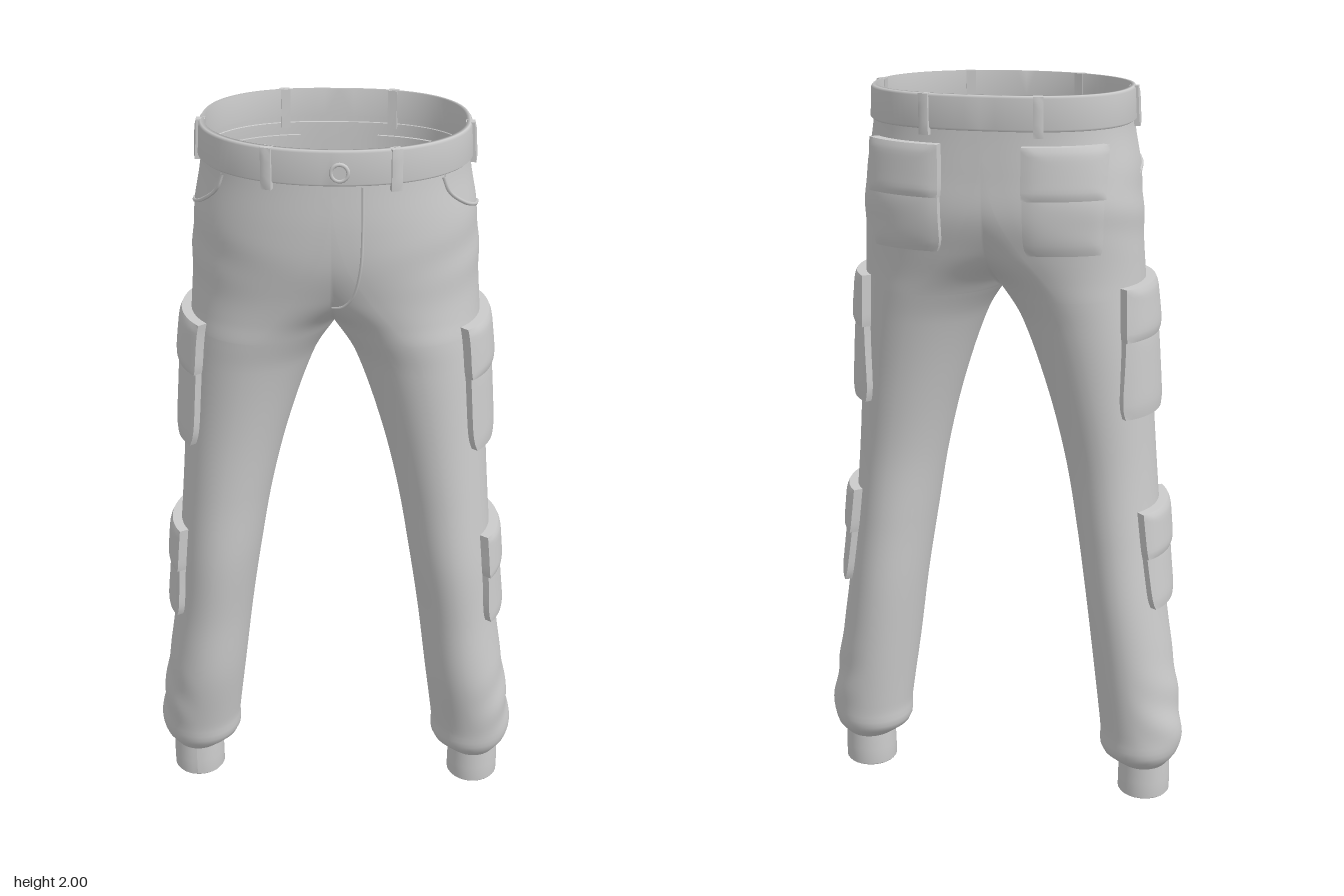
import * as THREE from 'three';
import { mergeVertices, mergeGeometries } from 'three/addons/utils/BufferGeometryUtils.js';

// Half-body sections: y, outer x, front z, back z, leg centre x, inner radius
const ROWS = [
  [2.0, 0.328, 0.27, -0.252, 0, 0.4],
  [1.9, 0.335, 0.273, -0.25, 0, 0.4],
  [1.8, 0.353, 0.274, -0.25, 0.01, 0.4],
  [1.7, 0.362, 0.265, -0.248, 0.04, 0.36],
  [1.6, 0.367, 0.242, -0.222, 0.1, 0.28],
  [1.53, 0.372, 0.228, -0.2, 0.155, 0.2],
  [1.48, 0.376, 0.222, -0.187, 0.19, 0.19],
  [1.4, 0.385, 0.21, -0.17, 0.22, 0.17],
  [1.2, 0.4, 0.195, -0.14, 0.262, 0.142],
  [1.0, 0.415, 0.19, -0.12, 0.295, 0.125],
  [0.8, 0.433, 0.19, -0.12, 0.32, 0.115],
  [0.6, 0.455, 0.175, -0.125, 0.345, 0.11],
  [0.4, 0.485, 0.165, -0.12, 0.372, 0.112],
  [0.2, 0.515, 0.13, -0.11, 0.4, 0.115],
  [0.14, 0.508, 0.12, -0.103, 0.4, 0.11],
  [0.1, 0.48, 0.09, -0.065, 0.41, 0.072],
];
const CROTCH = 1.48, HEM = 0.1;
const { lerp, clamp, smoothstep } = THREE.MathUtils;
const spow = (v, p) => Math.sign(v) * Math.abs(v) ** p;

// Smooth interpolation of the section table
function section(y) {
  let i = 0;
  while (i < ROWS.length - 2 && y <= ROWS[i + 1][0]) i++;
  const slope = (j, c) => {
    const a = ROWS[Math.max(j - 1, 0)], b = ROWS[Math.min(j + 1, ROWS.length - 1)];
    return (b[c] - a[c]) / (b[0] - a[0]);
  };
  const A = ROWS[i], B = ROWS[i + 1], h = B[0] - A[0], t = clamp((y - A[0]) / h, 0, 1);
  const s = t * t * (3 - 2 * t);
  const [xo, zf, zb, cx, R] = [1, 2, 3, 4, 5].map((c) =>
    A[c] * (1 - s) + B[c] * s + h * (t * (1 - t) ** 2 * slope(i, c) - t * t * (1 - t) * slope(i + 1, c)));
  return { cx: Math.max(cx, 0), R, rx: xo - Math.max(cx, 0), cz: (zf + zb) / 2, rz: (zf - zb) / 2 };
}

// The seat is squarer than the front and the legs
const power = (y, a) => 1 - (a < 0 ? 0.2 : 0.06) * smoothstep(y, 1.4, 1.8);

// Point on the outer half: a = -90deg back, 0 side, +90deg front
function surf(y, a, off = 0) {
  const S = section(y);
  const at = (b) => {
    const e = power(y, b);
    return [S.cx + S.rx * spow(Math.cos(b), e), S.cz + S.rz * spow(Math.sin(b), e)];
  };
  const [x, z] = at(a), p = at(a - 0.02), q = at(a + 0.02);
  const tx = q[0] - p[0], tz = q[1] - p[1], len = Math.hypot(tx, tz);
  const folds = Math.exp(-(((y - 0.27) / 0.12) ** 2)) + 0.6 * Math.exp(-(((y - 1.7) / 0.07) ** 2));
  const d = off + 0.004 * folds * Math.max(Math.cos(a), 0) * Math.sin(42 * y + 3 * a);
  return new THREE.Vector3(x + (tz / len) * d, y, z - (tx / len) * d);
}
const angleAtZ = (y, z) => {
  const S = section(y), v = clamp((z - S.cz) / S.rz, -1, 1);
  return Math.asin(spow(v, 1 / power(y, v)));
};
const angleAtX = (y, x, side) => {
  const S = section(y), v = clamp((x - S.cx) / S.rx, 0, 1);
  return side * Math.acos(v ** (1 / power(y, side)));
};

// Grid of points joined into a surface
function grid(rows) {
  const n = rows[0].length, index = [];
  for (let i = 0; i < rows.length - 1; i++)
    for (let k = 0; k < n - 1; k++) {
      const p = i * n + k;
      index.push(p, p + 1, p + n, p + 1, p + n + 1, p + n);
    }
  const g = new THREE.BufferGeometry();
  g.setAttribute('position', new THREE.Float32BufferAttribute(rows.flat().flatMap((v) => v.toArray()), 3));
  g.setIndex(index);
  g.computeVertexNormals();
  return g;
}

function mirrored(geo) {
  const g = geo.clone().scale(-1, 1, 1), ix = g.index.array;
  for (let i = 0; i < ix.length; i += 3) [ix[i], ix[i + 1]] = [ix[i + 1], ix[i]];
  g.computeVertexNormals();
  return g;
}

// Both halves welded into one smooth surface
function weld(half) {
  const g = mergeGeometries([half, mirrored(half)]);
  g.deleteAttribute('normal');
  const w = mergeVertices(g, 1e-5);
  w.computeVertexNormals();
  return w;
}

function bodyHalf() {
  const ys = [];
  for (let i = 0; i <= 40; i++) ys.push(CROTCH + (2 - CROTCH) * (1 - i / 40) ** 1.6);
  for (let i = 1; i <= 80; i++) ys.push(CROTCH + (HEM - CROTCH) * (i / 80));
  const M = 40, K = 16;
  return grid(ys.map((y) => {
    const S = section(y), T = Math.asin(Math.min(1, S.cx / S.R)), ring = [];
    const inner = (t, s) => new THREE.Vector3(
      Math.max(0, S.cx - S.R * Math.sin(t)), y, S.cz + s * S.rz * Math.cos(t));
    for (let k = K; k > 0; k--) ring.push(inner((T * k) / K, -1));
    for (let k = 0; k <= M; k++) ring.push(surf(y, (k / M - 0.5) * Math.PI));
    for (let k = 1; k <= K; k++) ring.push(inner((T * k) / K, 1));
    return ring;
  }));
}

// Slab wrapped on the body between two edges given as angles per height
function panel(y0, y1, off, edges, { taper = 0, nx = 16, ny = 12 } = {}) {
  const g = new THREE.BoxGeometry(1, 1, 1, nx, ny, 1), P = g.attributes.position;
  for (let i = 0; i < P.count; i++) {
    const u = P.getX(i), v = P.getY(i), y = lerp(y0, y1, v + 0.5);
    const [a, b] = edges(y), hi = Math.max(a, b), lo = Math.min(a, b);
    const w = 1 - taper * Math.max(0, -2 * v) ** 5;
    const rim = Math.max(Math.abs(2 * u), Math.abs(2 * v)) ** 6;
    const d = P.getZ(i) > 0 ? off * (1 - 0.2 * rim) : -0.008;
    const s = surf(y, lerp(hi, lo, 0.5 + u * w), d);
    P.setXYZ(i, s.x, s.y, s.z);
  }
  g.computeVertexNormals();
  return g;
}

const cord = (points, r) => new THREE.TubeGeometry(new THREE.CatmullRomCurve3(points), 32, r, 6);

export function createModel() {
  const model = new THREE.Group();
  const material = new THREE.MeshStandardMaterial({ color: 0xcccccc, side: THREE.DoubleSide });
  const add = (name, geo) => {
    const m = new THREE.Mesh(geo, material);
    m.name = name;
    model.add(m);
    return m;
  };
  const pair = (name, geo) => {
    add('left' + name, geo);
    add('right' + name, mirrored(geo));
  };

  // Seat and legs
  add('trousers', weld(bodyHalf()));

  // Waistband
  const band = [[1.93, -0.006], [2, -0.006], [2, 0.004], [1.994, 0.008], [1.92, 0.008], [1.912, -0.002]];
  add('waistband', weld(grid(band.map(([y, d]) =>
    Array.from({ length: 49 }, (_, k) => surf(y, (k / 48 - 0.5) * Math.PI, d))))));

  // Belt loops at front, side and back
  const loop = (edges) => panel(1.9, 2, 0.018, edges, { nx: 2, ny: 6 });
  pair('FrontBeltLoop', loop((y) => [angleAtX(y, 0.138, 1), angleAtX(y, 0.162, 1)]));
  pair('SideBeltLoop', loop((y) => [angleAtZ(y, 0.013), angleAtZ(y, 0.037)]));
  pair('BackBeltLoop', loop((y) => [angleAtX(y, 0.128, -1), angleAtX(y, 0.152, -1)]));

  // Flapped pockets: thigh, shin and seat
  const pocket = (name, y0, yFlap, y1, edges, wide) => {
    pair(name, panel(y0, yFlap + 0.03, 0.024, edges, { taper: 0.08 }));
    pair(name + 'Flap', panel(yFlap, y1, 0.032, (y) => {
      const [a, b] = edges(y);
      return [a + wide * Math.sign(a - b), b - wide * Math.sign(a - b)];
    }, { taper: 0.02 }));
  };
  pocket('ThighPocket', 1.16, 1.37, 1.51, (y) => [angleAtZ(y, 0.155), angleAtZ(y, -0.115)], 0.02);
  pocket('ShinPocket', 0.61, 0.76, 0.89, (y) => [angleAtZ(y, 0.135), angleAtZ(y, -0.078)], 0.02);
  pocket('SeatPocket', 1.61, 1.75, 1.88, (y) => [angleAtX(y, 0.285, -1), angleAtX(y, 0.105, -1)], 0.01);

  // Curved hand pocket openings
  const opening = [[1.91, 0.18], [1.87, 0.17], [1.83, 0.13], [1.805, 0.07], [1.79, 0]];
  pair('HandPocketEdge', cord(opening.map(([y, z]) => surf(y, angleAtZ(y, z), 0.001)), 0.005));

  // Fly stitching
  const fly = [[0.075, 1.91], [0.075, 1.8], [0.07, 1.7], [0.05, 1.62], [0.025, 1.59], [0, 1.583]];
  add('flyStitch', cord(fly.map(([x, y]) => {
    const S = section(y);
    if (x >= S.cx) return surf(y, angleAtX(y, x, 1));
    return new THREE.Vector3(x, y, S.cz + S.rz * Math.sqrt(1 - ((S.cx - x) / S.R) ** 2));
  }), 0.004));

  // Waist button
  const button = new THREE.CylinderGeometry(0.02, 0.022, 0.014, 24).rotateX(Math.PI / 2);
  add('button', button).position.set(0.02, 1.95, 0.28);
  add('buttonRim', new THREE.TorusGeometry(0.02, 0.005, 8, 24)).position.set(0.02, 1.95, 0.285);

  // Ankle cuffs, open below
  const cuffProfile = [[0.066, 0.12], [0.068, 0.004], [0.071, 0], [0.074, 0.004], [0.074, 0.05], [0.071, 0.115]];
  const cuff = new THREE.LatheGeometry(cuffProfile.map(([r, y]) => new THREE.Vector2(r, y)), 32);
  pair('AnkleCuff', cuff.translate(0.412, 0, 0.015));

  return model;
}
